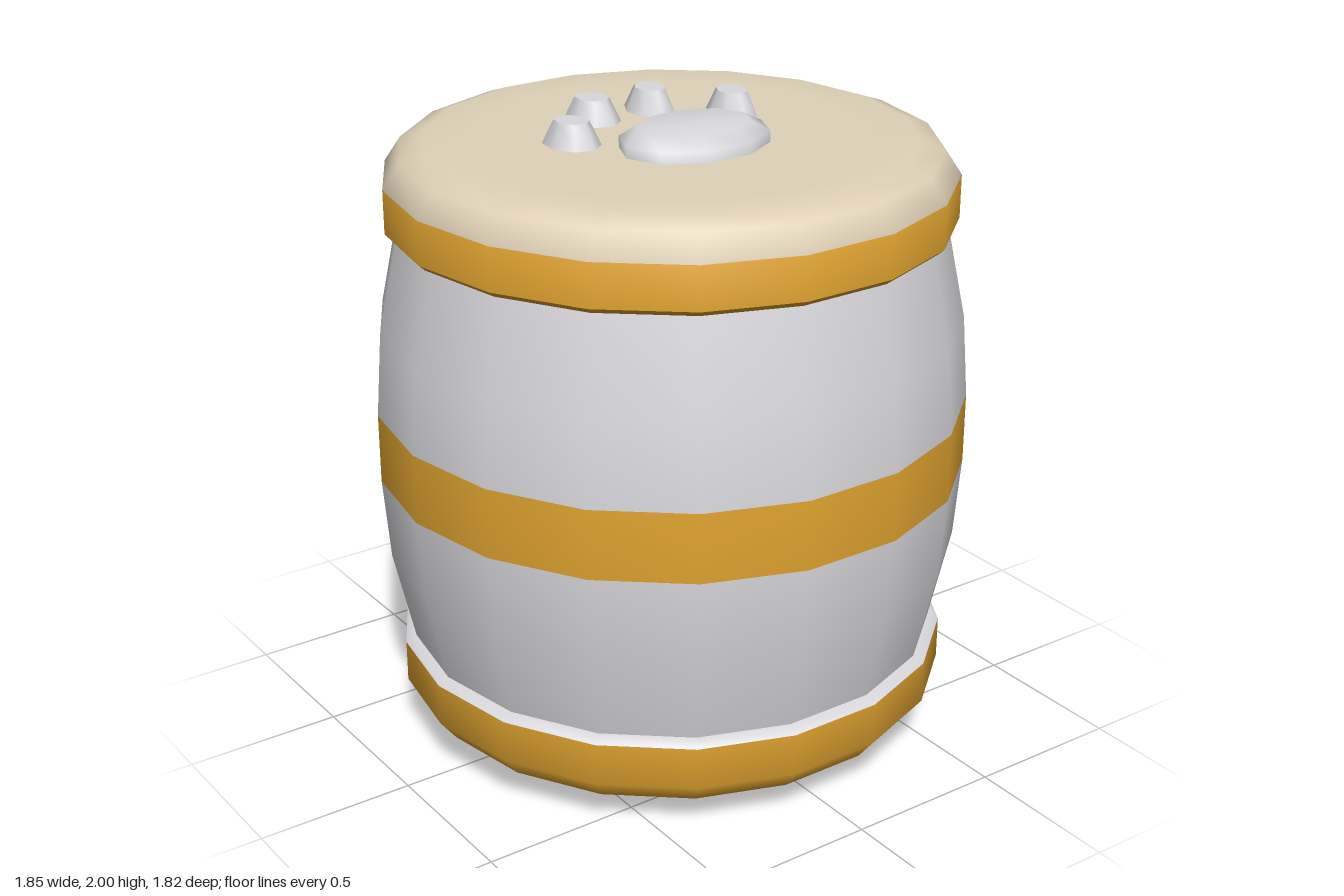
import * as THREE from 'three';

const SIDES = 18;

function material(name, color) {
  const m = new THREE.MeshStandardMaterial({ color });
  m.name = name;
  return m;
}

// Turned part from [radius, y] points, listed bottom to top; a repeated point makes a sharp edge.
function turned(name, points, sides, mats, bands) {
  const geo = new THREE.LatheGeometry(points.map(([r, y]) => new THREE.Vector2(r, y)), sides, Math.PI / 2);
  if (bands) {
    // One material index for each band between neighbouring points
    const n = points.length - 1;
    for (let i = 0; i < sides; i++) {
      for (let j = 0; j < n; j++) geo.addGroup((i * n + j) * 6, 6, bands[j]);
    }
  }
  const mesh = new THREE.Mesh(geo, mats);
  mesh.name = name;
  return mesh;
}

export function createModel() {
  const grey = material('light grey', 0xd9d8dc);
  const gold = material('gold', 0xe0a330);
  const cream = material('cream', 0xe0d2b8);
  const mats = [grey, gold, cream];

  const barrel = new THREE.Group();
  barrel.name = 'barrel';

  // Bulging body with a gold band around the middle
  barrel.add(turned('body', [
    [0.83, 0.3], [0.842, 0.34], [0.905, 0.63], [0.925, 0.89],
    [0.925, 1.11], [0.905, 1.37], [0.842, 1.67], [0.83, 1.72],
  ], SIDES, mats, [0, 0, 0, 1, 0, 0, 0]));

  // Bottom cap: cream base, gold hoop, grey upper rim
  barrel.add(turned('bottomCap', [
    [0, 0.08], [0.62, 0.08], [0.76, 0.08], [0.82, 0.11], [0.875, 0.18],
    [0.875, 0.315], [0.875, 0.315], [0.85, 0.335], [0.8, 0.335],
  ], SIDES, mats, [2, 2, 2, 1, 1, 1, 0, 0]));

  // Top cap: gold hoop and rounded cream lid
  barrel.add(turned('topCap', [
    [0.8, 1.672], [0.855, 1.672], [0.875, 1.69], [0.875, 1.69], [0.875, 1.825],
    [0.825, 1.9], [0.75, 1.927], [0.62, 1.927], [0, 1.927],
  ], SIDES, mats, [1, 1, 1, 1, 2, 2, 2, 2]));

  // Raised paw: one wide pad and four tapered toes
  function makePaw(name) {
    const paw = new THREE.Group();
    paw.name = name;
    const pad = turned('pad', [[1, 1.9], [1, 1.962], [0.74, 1.995], [0, 2]], 10, grey);
    pad.geometry.rotateY(-Math.PI / 2);
    pad.geometry.scale(0.185, 1, 0.245);
    pad.geometry.rotateY(Math.PI / 2);
    pad.position.z = 0.125;
    paw.add(pad);
    for (const side of [-1, 1]) {
      for (const [x, z] of [[0.107, -0.265], [0.295, -0.09]]) {
        const toe = turned('toe', [[1.1, 1.9], [1, 1.927], [0.6, 2], [0.6, 2], [0, 2]], 8, grey);
        toe.geometry.scale(0.078, 1, 0.1);
        toe.position.set(side * x, 0, z);
        toe.rotation.y = -side * 0.2;
        paw.add(toe);
      }
    }
    return paw;
  }

  barrel.add(makePaw('topPaw'));
  const bottomPaw = makePaw('bottomPaw');
  bottomPaw.rotation.x = Math.PI;
  bottomPaw.position.y = 2;
  barrel.add(bottomPaw);

  return barrel;
}
